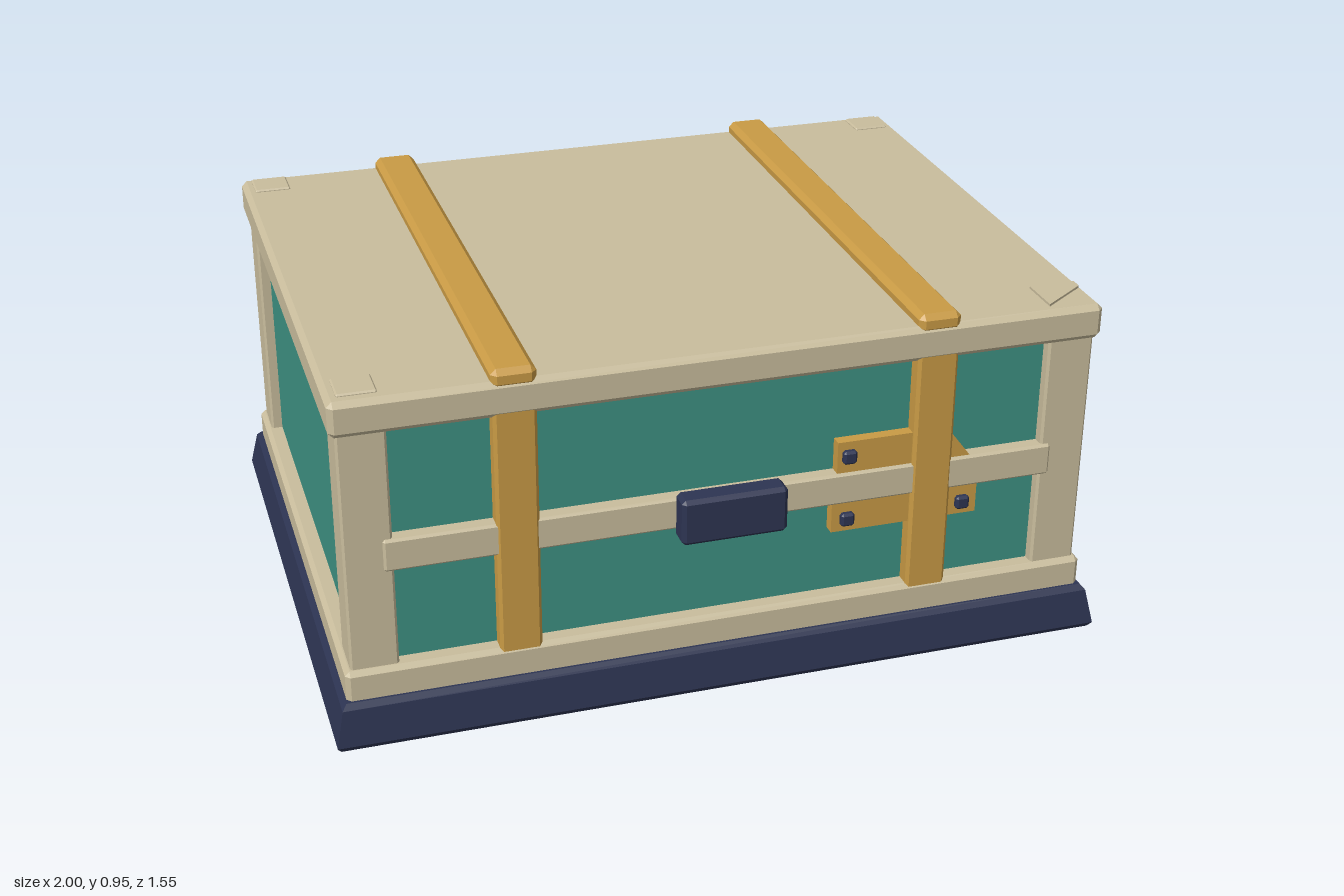
import * as THREE from 'three';
import { ConvexGeometry } from 'three/addons/geometries/ConvexGeometry.js';

const material = (name, color) => {
  const m = new THREE.MeshStandardMaterial({ color });
  m.name = name;
  return m;
};

// Box with chamfered edges, given by its minimum and maximum corners
function chamferBox(min, max, c) {
  const mid = min.map((v, i) => (v + max[i]) / 2);
  const half = min.map((v, i) => (max[i] - v) / 2);
  const points = [];
  for (const sx of [-1, 1]) for (const sy of [-1, 1]) for (const sz of [-1, 1]) {
    const sign = [sx, sy, sz];
    for (let axis = 0; axis < 3; axis++) {
      points.push(new THREE.Vector3(...sign.map((s, i) => mid[i] + s * (half[i] - (i === axis ? 0 : c)))));
    }
  }
  return new ConvexGeometry(points);
}

// Flat polygon in x and y, extruded along z
function plate(points, depth) {
  const shape = new THREE.Shape(points.map(([x, y]) => new THREE.Vector2(x, y)));
  return new THREE.ExtrudeGeometry(shape, { depth, bevelEnabled: false });
}

export function createModel() {
  const cream = material('cream wood', 0xc9bd9d);
  const gold = material('golden strap', 0xc99b45);
  const teal = material('teal panel', 0x3d9182);
  const navy = material('navy metal', 0x2d3452);

  const group = new THREE.Group();
  group.name = 'chest';
  const body = new THREE.Group();
  body.name = 'body';
  body.position.z = -0.006;
  group.add(body);
  const add = (name, geometry, mat, parent = body) => {
    const mesh = new THREE.Mesh(geometry, mat);
    mesh.name = name;
    parent.add(mesh);
    return mesh;
  };

  // Tapered base
  const basePoints = [];
  for (const [y, x, z] of [[0, 0.99, 0.76], [0.015, 1, 0.77], [0.108, 0.98, 0.753], [0.122, 0.968, 0.741]]) {
    for (const sx of [-1, 1]) for (const sz of [-1, 1]) basePoints.push(new THREE.Vector3(sx * x, y, sz * z));
  }
  add('base', new ConvexGeometry(basePoints), navy);

  // Body panels, lower frame and lid
  add('panels', new THREE.BoxGeometry(1.84, 0.7, 1.38).translate(0, 0.51, 0), teal);
  add('lowerFrame', chamferBox([-0.965, 0.11, -0.735], [0.965, 0.2, 0.735], 0.012), cream);
  add('lid', chamferBox([-0.965, 0.828, -0.735], [0.965, 0.92, 0.735], 0.014), cream);

  // Corner posts
  for (const sx of [-1, 1]) for (const sz of [-1, 1]) {
    const post = add('cornerPost', chamferBox([-0.06, 0.17, -0.06], [0.06, 0.85, 0.06], 0.006), cream);
    post.position.set(sx * 0.89, 0, sz * 0.66);
  }

  // Straps down both long sides and over the lid
  for (const x of [-0.53, 0.53]) {
    add('topStrap', chamferBox([x - 0.055, 0.9, -0.734], [x + 0.055, 0.95, 0.734], 0.014), gold);
    for (const s of [-1, 1]) {
      const strap = add('sideStrap', chamferBox([-0.053, 0.15, -0.03], [0.053, 0.87, 0.03], 0.008), gold);
      strap.position.set(x, 0, s * 0.702);
    }
  }

  // Middle rail and mending plates, repeated on the back by a half turn
  for (const turn of [0, Math.PI]) {
    const side = new THREE.Group();
    side.name = turn ? 'backFittings' : 'frontFittings';
    side.rotation.y = turn;
    body.add(side);
    add('middleRail', chamferBox([-0.855, 0.46, 0.66], [0.855, 0.545, 0.728], 0.006), cream, side);
    add('upperPlate', plate([[0.28, 0.545], [0.635, 0.545], [0.57, 0.63], [0.28, 0.63]], 0.035), gold, side).position.z = 0.685;
    add('lowerPlate', plate([[0.27, 0.38], [0.66, 0.38], [0.66, 0.46], [0.27, 0.46]], 0.035), gold, side).position.z = 0.685;
    for (const [x, y] of [[0.31, 0.59], [0.31, 0.415], [0.62, 0.415]]) {
      add('bolt', chamferBox([x - 0.018, y - 0.018, 0.71], [x + 0.018, y + 0.018, 0.735], 0.006), navy, side);
    }
  }

  // Clasp on the front
  add('clasp', chamferBox([-0.138, 0.44, 0.72], [0.132, 0.563, 0.784], 0.01), navy);

  // Raised corner patches on the lid, one of them cut slantwise
  for (const [x, z] of [[-0.89, -0.67], [0.89, -0.67], [-0.89, 0.655]]) {
    add('lidPatch', chamferBox([x - 0.048, 0.91, z - 0.046], [x + 0.048, 0.926, z + 0.046], 0.004), cream);
  }
  const cut = plate([[0.83, -0.59], [0.83, -0.705], [0.95, -0.62], [0.95, -0.59]], 0.01);
  add('cutLidPatch', cut.rotateX(-Math.PI / 2), cream).position.y = 0.916;

  return group;
}
